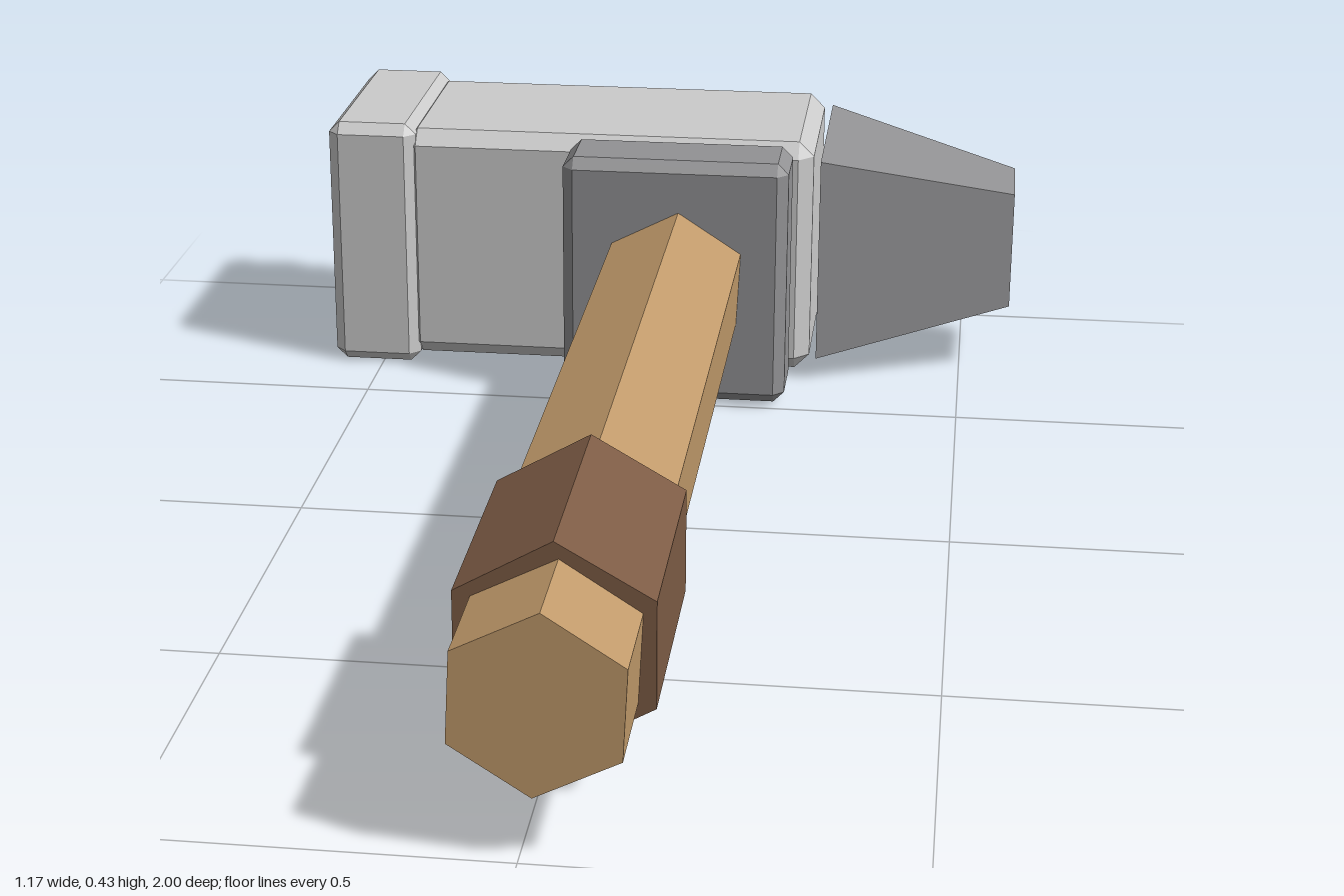
import * as THREE from 'three';
import { ConvexGeometry } from 'three/addons/geometries/ConvexGeometry.js';

const SIGNS = [-1, 1];
const material = (color) => new THREE.MeshStandardMaterial({ color, flatShading: true });

// Box between two corners with every edge chamfered by c
function chamferBox(min, max, c) {
  const mid = min.map((v, i) => (v + max[i]) / 2);
  const half = min.map((v, i) => (max[i] - v) / 2);
  const points = [];
  for (const sx of SIGNS) for (const sy of SIGNS) for (const sz of SIGNS) {
    for (let axis = 0; axis < 3; axis++) {
      const p = [sx, sy, sz].map((s, i) => mid[i] + s * (half[i] - (i === axis ? 0 : c)));
      points.push(new THREE.Vector3(...p));
    }
  }
  return new ConvexGeometry(points);
}

// Four-sided taper along x; each end is [x, half height, half depth]
function taper(ends, y, z) {
  const points = [];
  for (const [x, h, d] of ends) for (const sy of SIGNS) for (const sz of SIGNS) {
    points.push(new THREE.Vector3(x, y + sy * h, z + sz * d));
  }
  return new ConvexGeometry(points);
}

// Hexagonal bar along z, one corner up, turned by a small twist
function hexBar(radius, z0, z1, twist = 0) {
  return new THREE.CylinderGeometry(radius, radius, z1 - z0, 6)
    .rotateX(-Math.PI / 2)
    .rotateZ(twist)
    .translate(0.025, 0.215, (z0 + z1) / 2);
}

export function createModel() {
  const group = new THREE.Group();
  const steel = material(0xcccccc);
  const darkSteel = material(0x929294);
  const wood = material(0xc19a6b);
  const leather = material(0x7d5c45);

  const add = (name, geometry, mat) => {
    const mesh = new THREE.Mesh(geometry, mat);
    mesh.name = name;
    group.add(mesh);
  };

  // Head
  add('headBlock', chamferBox([-0.46, 0.012, -0.99], [0.243, 0.418, -0.642], 0.025), steel);
  add('strikingFace', chamferBox([-0.585, 0, -1], [-0.435, 0.43, -0.63], 0.018), steel);
  add('taperedPeen', taper([[0.256, 0.176, 0.174], [0.582, 0.101, 0.076]], 0.216, -0.813), darkSteel);
  add('collar', chamferBox([-0.163, 0.006, -0.634], [0.211, 0.424, -0.5], 0.018), darkSteel);

  // Handle
  add('handle', hexBar(0.124, -0.55, 1, -0.05), wood);
  add('grip', hexBar(0.147, 0.51, 0.85), leather);

  return group;
}
